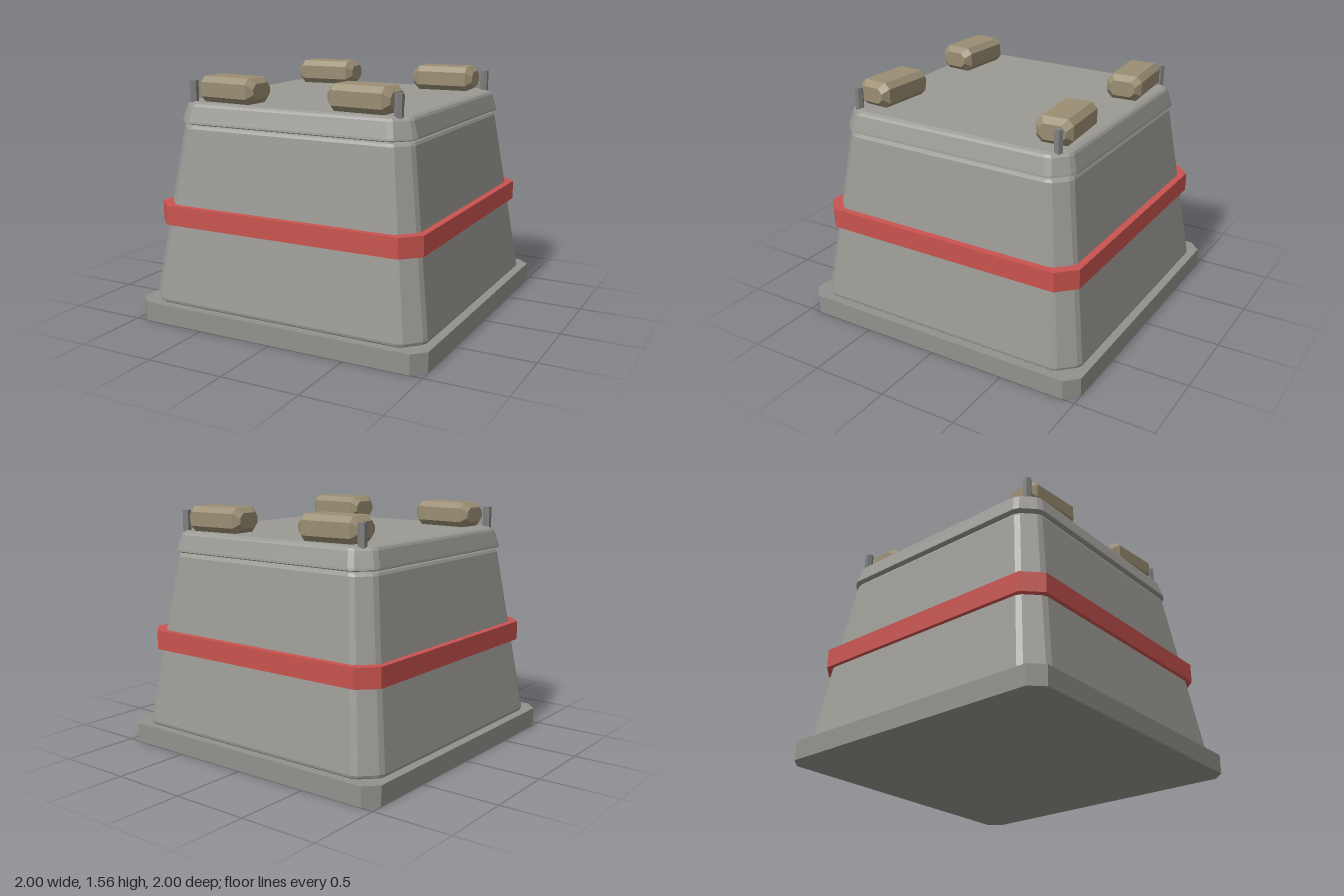
import * as THREE from 'three';

const paint = (name, color) => {
  const m = new THREE.MeshStandardMaterial({ color, flatShading: true });
  m.name = name;
  return m;
};

// Square outline with cut corners; a soft value above 0 eases the ends of each cut.
function outline(hx, hz, cut, soft) {
  const k = soft * 0.707;
  const corner = soft > 0
    ? [[0, cut + soft], [k, cut - k], [cut - k, k], [cut + soft, 0]]
    : [[0, cut], [cut, 0]];
  const back = [...corner].reverse();
  const pts = [];
  for (const [sx, sz, list] of [[1, 1, corner], [-1, 1, back], [-1, -1, corner], [1, -1, back]]) {
    for (const [dx, dz] of list) pts.push([sx * (hx - dx), sz * (hz - dz)]);
  }
  return pts;
}

// Closed solid through rings of [y, half x, half z, corner cut].
function loft(rings, soft = 0) {
  const pos = [];
  const loops = rings.map(([y, hx, hz, cut]) => outline(hx, hz, cut, soft).map(([x, z]) => [x, y, z]));
  const n = loops[0].length;
  const last = loops.length - 1;
  for (let i = 0; i < n; i++) {
    const j = (i + 1) % n;
    for (let r = 0; r < last; r++) {
      const a = loops[r][i], b = loops[r][j], c = loops[r + 1][j], d = loops[r + 1][i];
      pos.push(...a, ...d, ...b, ...b, ...d, ...c);
    }
    pos.push(0, rings[0][0], 0, ...loops[0][i], ...loops[0][j]);
    pos.push(0, rings[last][0], 0, ...loops[last][j], ...loops[last][i]);
  }
  const g = new THREE.BufferGeometry();
  g.setAttribute('position', new THREE.Float32BufferAttribute(pos, 3));
  g.computeVertexNormals();
  return g;
}

const square = (rows) => rows.map(([y, h, cut]) => [y, h, h, cut]);

export function createModel() {
  const group = new THREE.Group();
  const concrete = paint('concrete', 0x9b9994);
  const footing = paint('footing concrete', 0x92918c);
  const red = paint('red stripe', 0xc9544f);
  const steel = paint('steel', 0x80817f);
  const canvas = paint('canvas', 0x9a8e73);

  const add = (name, geometry, material, x = 0, y = 0, z = 0) => {
    const mesh = new THREE.Mesh(geometry, material);
    mesh.name = name;
    mesh.position.set(x, y, z);
    group.add(mesh);
    return mesh;
  };

  // Footing slab
  add('base', loft(square([[0, 1, 0.08], [0.125, 1, 0.08]])), footing);

  // Tapered body with eased rims
  add('body', loft(square([
    [0.12, 0.935, 0.11], [0.133, 0.95, 0.115], [0.148, 0.953, 0.115],
    [1.235, 0.797, 0.1], [1.252, 0.788, 0.1], [1.265, 0.765, 0.09],
  ]), 0.02), concrete);

  // Painted band around the middle
  add('band', loft(square([[0.63, 0.91, 0.11], [0.755, 0.91, 0.11]])), red);

  // Roof slab
  add('roof', loft(square([
    [1.262, 0.79, 0.1], [1.27, 0.81, 0.11], [1.282, 0.808, 0.11],
    [1.375, 0.781, 0.1], [1.39, 0.771, 0.1], [1.4, 0.75, 0.09],
  ]), 0.02), concrete);

  // Sandbags and corner pegs
  const bag = loft([
    [-0.21, 0.048, 0.085, 0.03], [-0.168, 0.08, 0.116, 0.035],
    [0.168, 0.08, 0.116, 0.035], [0.21, 0.048, 0.085, 0.03],
  ]).rotateZ(Math.PI / 2);
  const peg = new THREE.CylinderGeometry(0.028, 0.028, 0.15, 6);
  for (const sx of [-1, 1]) {
    for (const sz of [-1, 1]) {
      add('sandbag', bag, canvas, sx * 0.456, 1.48, sz * 0.625).rotation.y = -sz * 0.07;
      add('peg', peg, steel, sx * 0.705, 1.455, sz * 0.705);
    }
  }
  return group;
}
